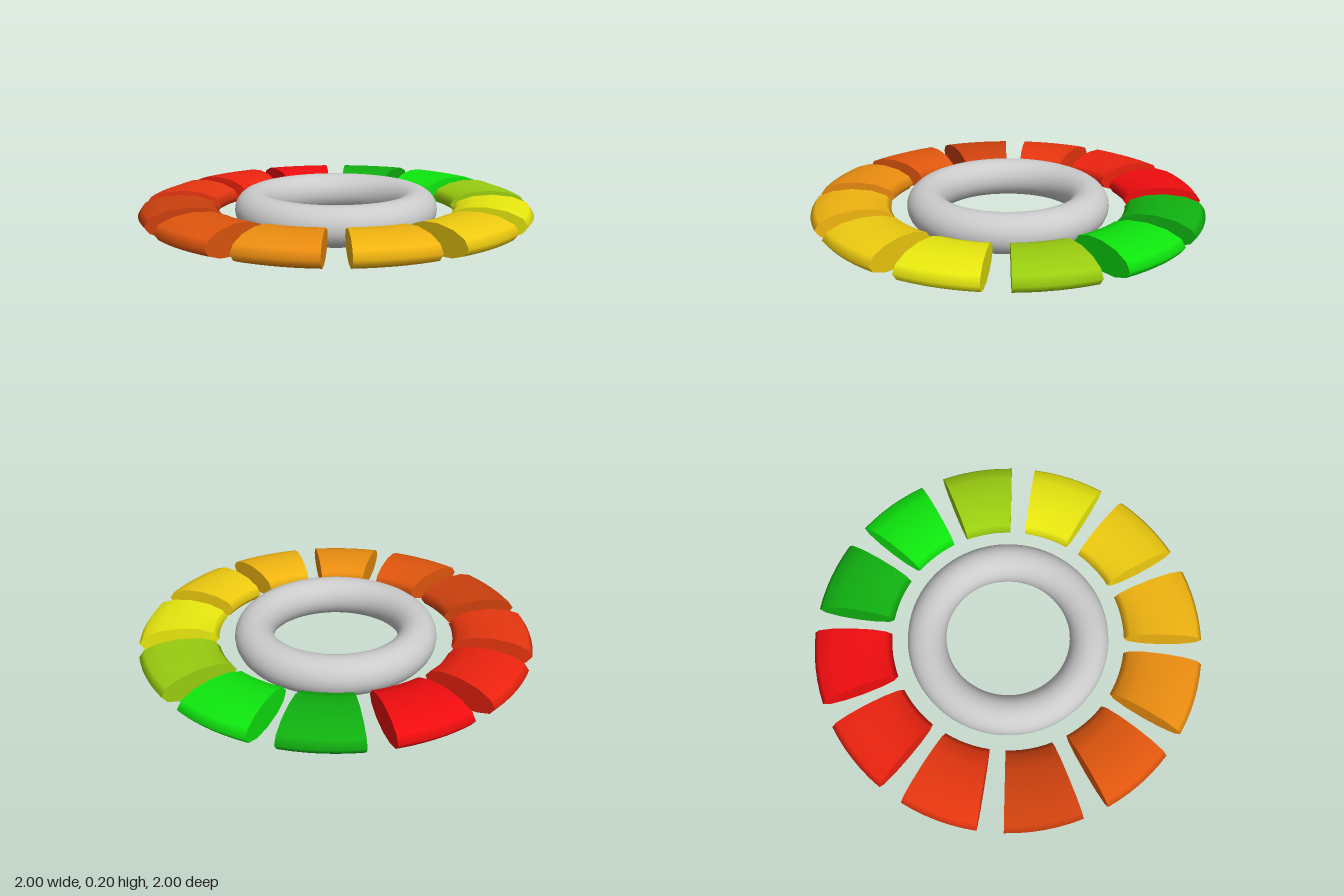
import * as THREE from 'three';
import { mergeGeometries } from 'three/addons/utils/BufferGeometryUtils.js';

const RADIUS = 0.8, HALF_WIDTH = 0.2, FLATTEN = 0.365;
const ARC = THREE.MathUtils.degToRad(22.5);
const START = THREE.MathUtils.degToRad(1.6);

// Curved block: a flattened 12-sided ring sector closed by an oval cap at each end
function segmentGeometry() {
  const body = new THREE.TorusGeometry(RADIUS, HALF_WIDTH, 12, 6, ARC);
  body.rotateX(-Math.PI / 2).scale(1, FLATTEN, 1);
  const cap = () => new THREE.CircleGeometry(HALF_WIDTH, 12).scale(1, FLATTEN, 1);
  const startCap = cap().translate(RADIUS, 0, 0);
  const endCap = cap().rotateY(Math.PI).translate(RADIUS, 0, 0).rotateY(ARC);
  return mergeGeometries([body, startCap, endCap]);
}

export function createModel() {
  const group = new THREE.Group();
  group.name = 'segmentedRing';

  // Plain inner ring
  const ring = new THREE.Mesh(
    new THREE.TorusGeometry(0.42, 0.1, 24, 72).rotateX(-Math.PI / 2),
    new THREE.MeshStandardMaterial({ color: 0xcccccc })
  );
  ring.name = 'innerRing';
  ring.position.y = 0.1;
  group.add(ring);

  // Twelve coloured segments, counter-clockwise from the model's left
  const colors = [
    0x9acd10, 0x0ee60e, 0x10b010, 0xf00c0e, 0xec220f, 0xe6360f,
    0xcc400e, 0xe0560e, 0xea8c10, 0xf0b410, 0xeecb10, 0xe8e80f,
  ];
  const geometry = segmentGeometry();
  colors.forEach((color, i) => {
    const segment = new THREE.Mesh(geometry, new THREE.MeshStandardMaterial({ color }));
    segment.name = `colourSegment${i + 1}`;
    segment.position.y = 0.102;
    segment.rotation.y = START + (i * Math.PI) / 6;
    group.add(segment);
  });

  return group;
}
